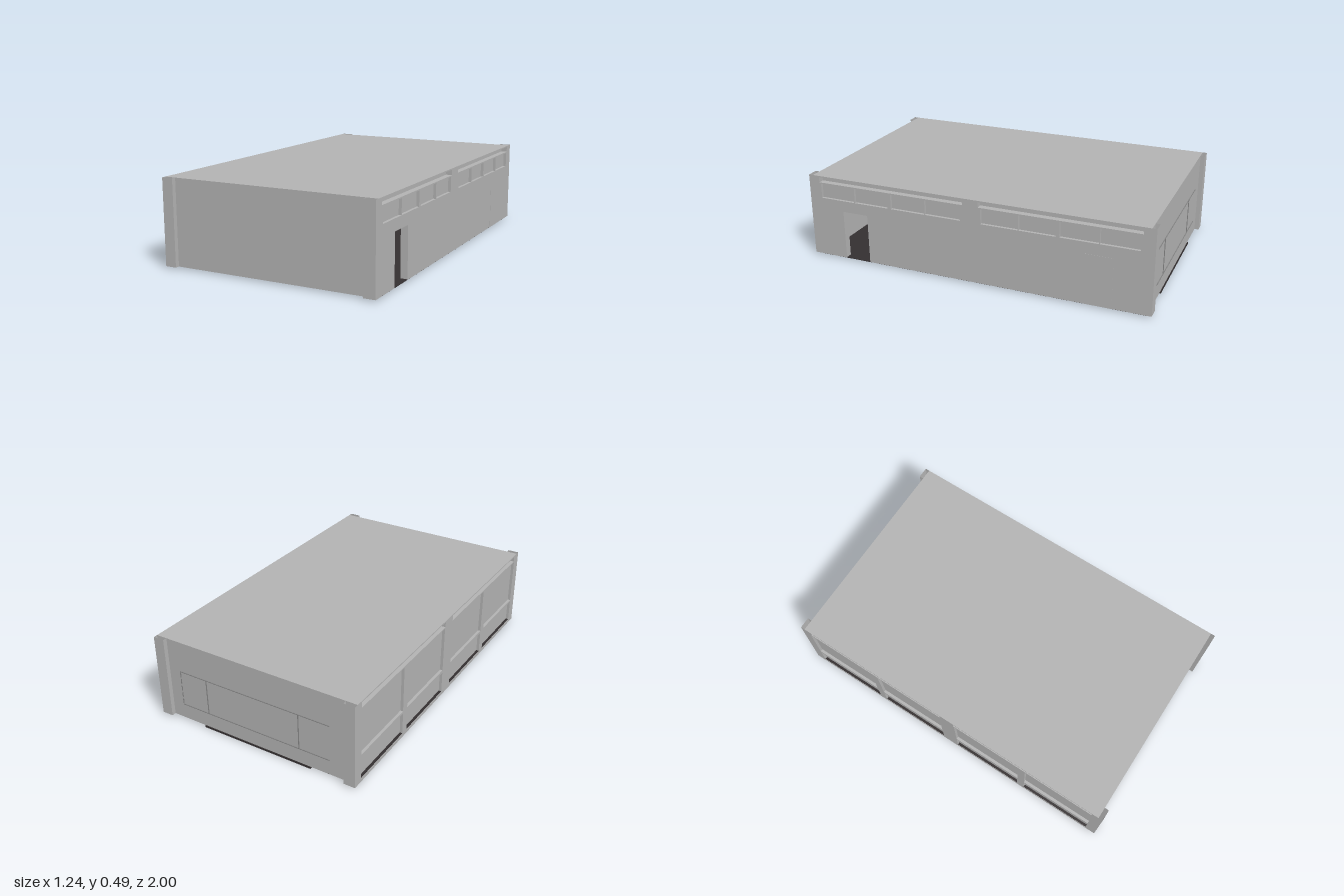
import * as THREE from 'three';

const W = 0.62, L = 0.975, BASE = 0.01, TOP = 0.49, THICK = 0.04;

export function createModel() {
  const model = new THREE.Group();
  const mat = (name, color) => {
    const m = new THREE.MeshStandardMaterial({ color, side: THREE.DoubleSide });
    m.name = name;
    return m;
  };
  const wall = mat('wall grey', 0xb2b2b2);
  const trim = mat('trim grey', 0x858585);
  const dark = mat('floor brown', 0x342f30);

  const add = (name, geometry, material) => {
    const mesh = new THREE.Mesh(geometry, material);
    mesh.name = name;
    model.add(mesh);
    return mesh;
  };
  // Box given by its limits on each axis
  const box = (name, material, x0, x1, y0, y1, z0, z1) =>
    add(name, new THREE.BoxGeometry(x1 - x0, y1 - y0, z1 - z0), material)
      .position.set((x0 + x1) / 2, (y0 + y1) / 2, (z0 + z1) / 2);

  const rect = ([z0, z1, y0, y1]) => {
    const p = new THREE.Path();
    p.moveTo(z0, y0); p.lineTo(z0, y1); p.lineTo(z1, y1); p.lineTo(z1, y0);
    p.closePath();
    return p;
  };

  // Side wall drawn in (z, y) and extruded inwards
  const sideWall = (name, side, openings, door) => {
    const s = new THREE.Shape();
    s.moveTo(-L, BASE);
    if (door) {
      s.lineTo(door[0], BASE); s.lineTo(door[0], door[2]);
      s.lineTo(door[1], door[2]); s.lineTo(door[1], BASE);
    }
    s.lineTo(L, BASE); s.lineTo(L, 0.486); s.lineTo(-L, 0.486);
    s.closePath();
    s.holes = openings.map(rect);
    const g = new THREE.ExtrudeGeometry(s, { depth: THICK, bevelEnabled: false });
    g.rotateY(-Math.PI / 2);
    g.translate(side > 0 ? W : -W + THICK, 0, 0);
    add(name, g, wall);
  };
  // Thin pane filling an opening at a given depth behind the wall face
  const pane = (name, side, depth, [z0, z1, y0, y1]) => {
    const x = side * (W - depth);
    box(name, wall, x - 0.002, x + 0.002, y0, y1, z0, z1);
  };

  // Roof, floor and end walls
  box('roof', wall, -W, W, 0.484, TOP, -L, L);
  box('floor', dark, -W + 0.001, W - 0.001, 0.009, 0.0125, -L + 0.001, 0.955);
  for (const s of [-1, 1]) {
    const z = s * (L - THICK / 2);
    box(s > 0 ? 'frontWall' : 'backWall', wall, -W + THICK, W - THICK, BASE, 0.486, z - THICK / 2, z + THICK / 2);
  }

  // Slots under the roof edge, two per side
  const slots = [[-0.935, -0.045, 0.452, 0.483], [0.045, 0.935, 0.452, 0.483]];

  // Right wall: a row of high windows and an open doorway
  const high = [];
  for (const [a, b] of [[0.06, 0.27], [0.275, 0.48], [0.5, 0.71], [0.715, 0.925]])
    high.push([a, b, 0.36, 0.445], [-b, -a, 0.36, 0.445]);
  sideWall('rightWall', 1, [...high, ...slots], [0.635, 0.79, 0.295]);
  high.forEach(o => pane('highWindow', 1, 0.018, o));
  box('closedDoor', wall, W - 0.01, W + 0.001, BASE, 0.295, -0.79, -0.635);

  // Left wall: four bays, each with a tall window above a low panel
  const tall = [], low = [];
  for (const [a, b] of [[0.05, 0.47], [0.515, 0.94]]) {
    for (const [z0, z1] of [[a, b], [-b, -a]]) {
      tall.push([z0, z1, 0.175, 0.445]);
      low.push([z0, z1, 0.03, 0.16]);
    }
  }
  sideWall('leftWall', -1, [...tall, ...low, ...slots]);
  tall.forEach(o => pane('tallWindow', -1, 0.018, o));
  low.forEach(o => {
    pane('lowPanel', -1, 0.018, o);
    box('lowSill', dark, -W + 0.002, -W + 0.018, 0.03, 0.034, o[0], o[1]);
  });
  for (const s of [-1, 1]) slots.forEach(o => pane('slotBack', s, 0.037, o));

  // Hollow corner columns standing proud of the end walls
  for (const sx of [-1, 1]) for (const sz of [-1, 1]) {
    const g = new THREE.BoxGeometry(0.065, TOP - BASE, 0.06);
    const i = Array.from(g.index.array);
    g.setIndex([...i.slice(0, 12), ...i.slice(24)]); // no top or bottom
    g.clearGroups();
    add('cornerColumn', g, wall).position.set(sx * (W - 0.0325), (TOP + BASE) / 2, sz * 0.97);
  }

  // Board outline on the back wall
  const zb = -L - 0.004;
  for (const y of [0.1, 0.308])
    box('boardRail', trim, y < 0.2 ? -0.46 : -0.276, 0.48, y - 0.002, y + 0.002, zb, -L + 0.002);
  box('boardRail', trim, -0.46, -0.276, 0.306, 0.31, zb, -L + 0.002);
  for (const x of [-0.276, 0.306])
    box('boardEdge', trim, x - 0.002, x + 0.002, 0.1, 0.308, zb, -L + 0.002);
  for (let i = 0; i < 5; i++)
    box('boardEnd', trim, 0.478, 0.482, 0.105 + i * 0.042, 0.135 + i * 0.042, zb, -L + 0.002);

  // Platform slab and small plate below the floor
  box('platform', dark, -0.345, 0.34, 0, 0.0095, -0.98, -0.65);
  box('floorPlate', dark, 0.38, 0.412, 0.004, 0.0095, -0.85, -0.74);

  return model;
}
